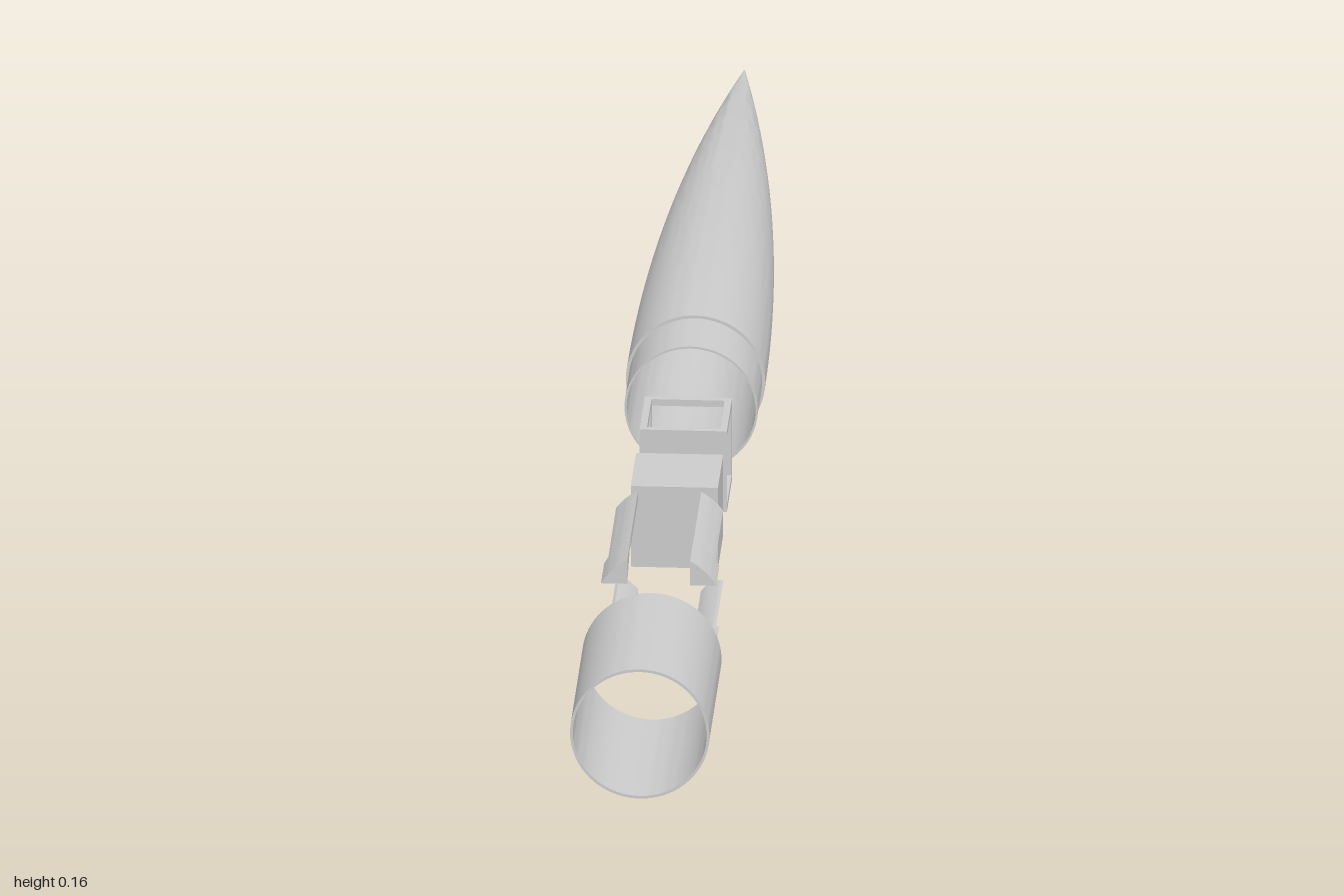
import * as THREE from 'three';
import { toCreasedNormals } from 'three/addons/utils/BufferGeometryUtils.js';

const grey = new THREE.MeshStandardMaterial({ color: 0xcccccc, side: THREE.DoubleSide });
const AXIS = 0.08; // height of the long axis, also the outer radius

export function createModel() {
  const model = new THREE.Group();

  const add = (parent, name, geometry, x = 0, y = 0, z = 0) => {
    const mesh = new THREE.Mesh(geometry, grey);
    mesh.name = name;
    mesh.position.set(x, y, z);
    parent.add(mesh);
    return mesh;
  };
  const box = (parent, name, w, h, d, x, y, z) =>
    add(parent, name, new THREE.BoxGeometry(w, h, d), x, y, z);
  const group = (name, x, y, z) => {
    const g = new THREE.Group();
    g.name = name;
    g.position.set(x, y, z);
    model.add(g);
    return g;
  };
  // Turned part along z; profile pairs are [radius, z]
  const turned = (name, profile) => {
    const points = profile.map(([r, z]) => new THREE.Vector2(r, -z));
    const geometry = new THREE.LatheGeometry(points, 72).rotateX(-Math.PI / 2);
    return add(model, name, toCreasedNormals(geometry, 0.5), 0, AXIS, 0);
  };

  // Open body tube
  turned('bodyTube', [[0.08, 1], [0.08, 0.77], [0.0768, 0.77], [0.0768, 1], [0.08, 1]]);

  // Hollow ogive nose with a narrower shoulder
  const base = -0.065, length = 0.935, radius = 0.08;
  const R = (radius ** 2 + length ** 2) / (2 * radius);
  const outer = [], inner = [];
  for (let i = 0; i <= 28; i++) {
    const d = (length * i) / 28;
    const r = Math.max(0, Math.sqrt(R * R - d * d) + radius - R);
    outer.push([r, base - d]);
    if (r > 0.01) inner.unshift([r - 0.006, base - d]);
  }
  turned('noseCone', [
    [0.0765, 0.02], [0.0765, base], ...outer,
    [0, -0.965], ...inner, [0.074, 0.02], [0.0765, 0.02],
  ]);

  // Four corner rails: slim strip plus a tapered foot filling the corner
  const corner = (sx, sy, a0, a1, r, inside) => {
    const pts = inside.map(([x, y]) => new THREE.Vector2(sx * x, sy * y));
    for (let i = 0; i <= 8; i++) {
      const a = a0 + ((a1 - a0) * i) / 8;
      pts.push(new THREE.Vector2(sx * r * Math.cos(a), sy * r * Math.sin(a)));
    }
    return new THREE.Shape(pts);
  };
  const extrude = (shape, depth) =>
    new THREE.ExtrudeGeometry(shape, { depth, bevelEnabled: false });
  for (const sx of [-1, 1]) {
    for (const sy of [-1, 1]) {
      const rail = group('cornerRail', 0, AXIS, 0.43);
      const strip = corner(sx, sy, 0.62, 1.07, 0.0755, [[0.036, 0.056], [0.046, 0.046], [0.058, 0.042]]);
      add(rail, 'railStrip', toCreasedNormals(extrude(strip, 0.15), 0.5));

      const foot = extrude(
        corner(sx, sy, 0.51, 1.075, 0.0758, [[0.036, 0.066], [0.036, 0.037], [0.066, 0.037]]), 0.06);
      const p = foot.attributes.position;
      for (let i = 0; i < p.count; i++) {
        if (p.getZ(i) < 0.01 && Math.abs(p.getX(i)) < 0.04 && Math.abs(p.getY(i)) < 0.04) {
          p.setXY(i, sx * 0.046, sy * 0.046);
        }
      }
      foot.computeVertexNormals();
      add(rail, 'railFoot', toCreasedNormals(foot, 0.5), 0, 0, 0.15);
    }
  }

  // Equipment box, open at the back, with a circuit board inside
  const S = 0.1, T = 0.004;
  const bay = group('equipmentBox', 0.003, 0.085, 0.34);
  box(bay, 'frontWall', S, S, T, 0, 0, S / 2 - T / 2);
  for (const s of [-1, 1]) {
    box(bay, 'sideWall', T, S, S - T, s * (S - T) / 2, 0, -T / 2);
    box(bay, 'levelWall', S - 2 * T, T, S - T, 0, s * (S - T) / 2, -T / 2);
  }
  box(bay, 'circuitBoard', S - 2 * T, S - 2 * T, 0.003, 0, 0, -0.025);
  const chips = [
    [0, 0.02, 0.03, 0.02], [-0.025, -0.015, 0.02, 0.026], [0.02, -0.02, 0.024, 0.014],
    [0.032, 0.025, 0.01, 0.024], [-0.032, 0.028, 0.012, 0.012],
  ];
  for (const [x, y, w, h] of chips) box(bay, 'chip', w, h, 0.01, x, y, -0.031);
  for (const x of [-1, 1]) {
    for (const y of [-1, 1]) {
      const post = add(bay, 'boardPost',
        new THREE.CylinderGeometry(0.003, 0.003, 0.02, 12), x * 0.041, y * 0.041, -0.036);
      post.rotation.x = Math.PI / 2;
    }
  }

  // Open cubic frame with a panel on its front side
  const frame = group('openFrame', 0.003, 0.085, 0.17);
  const B = 0.008, e = (S - B) / 2;
  for (const a of [-1, 1]) {
    for (const b of [-1, 1]) {
      box(frame, 'frameBar', S, B, B, 0, a * e, b * e);
      box(frame, 'frameBar', B, S - 2 * B, B, a * e, 0, b * e);
      box(frame, 'frameBar', B, B, S - 2 * B, a * e, b * e, 0);
    }
  }
  box(frame, 'framePanel', S - 2 * B, S - 2 * B, 0.003, 0, 0, S / 2 - 0.003);

  return model;
}
